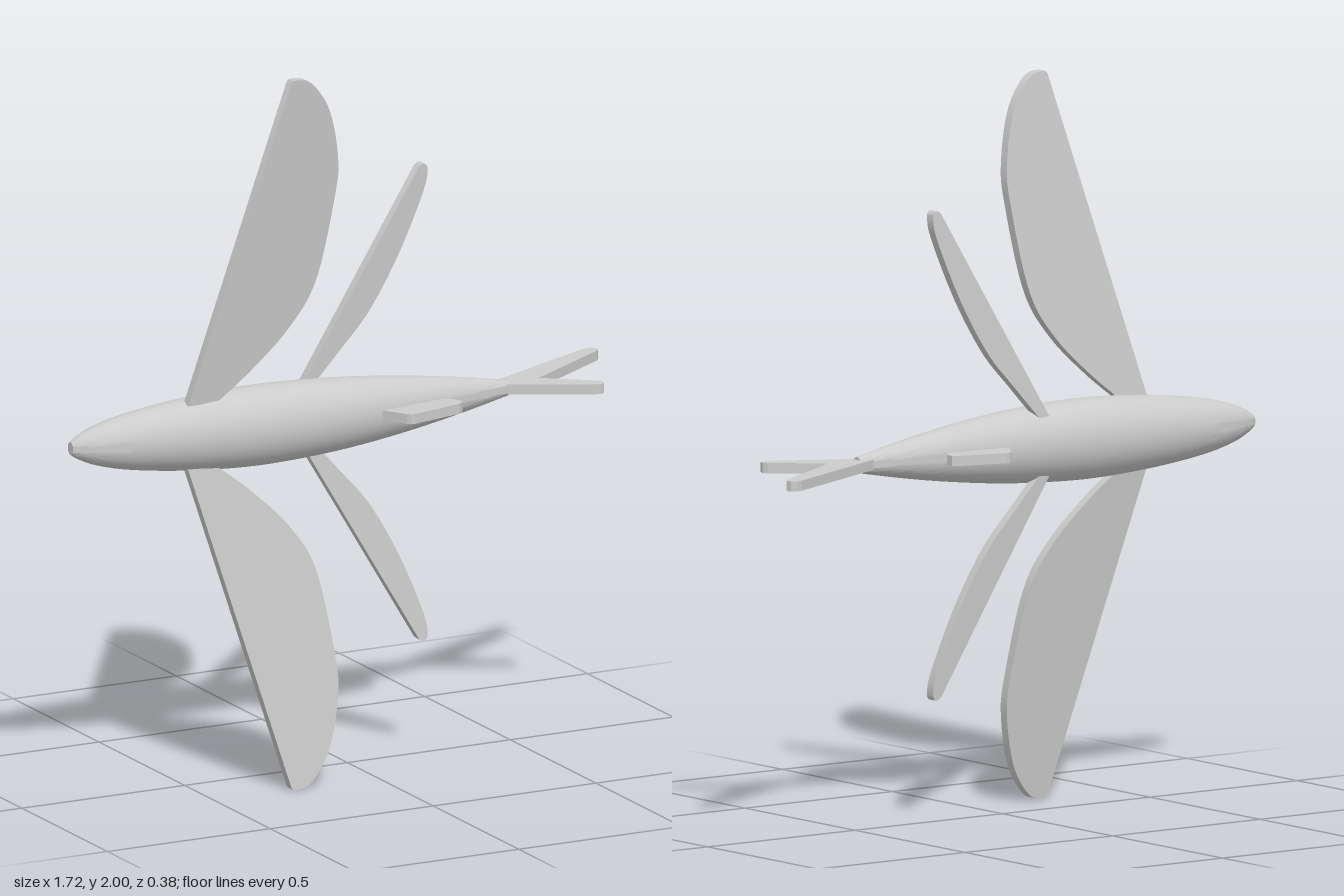
import * as THREE from 'three';
import { mergeVertices, toCreasedNormals } from 'three/addons/utils/BufferGeometryUtils.js';

const material = new THREE.MeshStandardMaterial({ color: 0xcccccc });
const AXIS_Y = 1; // height of the body axis
const THICK = 0.028; // thickness of every fin

const vec = ([x, y]) => new THREE.Vector2(x, y);

function addMesh(group, name, geometry) {
  const mesh = new THREE.Mesh(geometry, material);
  mesh.name = name;
  mesh.position.y = AXIS_Y;
  group.add(mesh);
}

// Spindle body along x: slightly flattened in z, with a gently arched centre line
function bodyGeometry() {
  const profile = [
    [0.018, -0.86], [0.034, -0.835], [0.055, -0.785], [0.078, -0.69], [0.099, -0.53],
    [0.111, -0.34], [0.108, -0.17], [0.096, 0], [0.074, 0.18], [0.05, 0.33], [0.022, 0.48],
  ].map(vec);
  const smooth = new THREE.SplineCurve(profile).getPoints(50);
  const points = [new THREE.Vector2(0, -0.86), ...smooth, new THREE.Vector2(0, 0.48)];
  let geo = new THREE.LatheGeometry(points, 48);
  geo.rotateZ(-Math.PI / 2);
  const pos = geo.attributes.position;
  for (let i = 0; i < pos.count; i++) {
    const t = (pos.getX(i) + 0.86) / 1.34;
    pos.setZ(i, pos.getZ(i) * 0.86 + 0.018 + 0.02 * Math.sin(Math.PI * t));
  }
  geo.deleteAttribute('uv');
  geo.deleteAttribute('normal');
  geo = mergeVertices(geo, 1e-5);
  return toCreasedNormals(geo, 0.7);
}

// Upright fin: straight leading edge, curved trailing edge, leaning forward by a shear.
// side = 1 for the upper fin, -1 for the lower one
function sweptFin(root, trailing, z0, slope, side) {
  const flip = ([x, y]) => new THREE.Vector2(x, y * side);
  const shape = new THREE.Shape();
  const start = flip(root);
  const edge = trailing.map(flip);
  shape.moveTo(start.x, start.y);
  shape.lineTo(edge[0].x, edge[0].y);
  shape.splineThru(edge.slice(1));
  shape.closePath();
  const geo = new THREE.ExtrudeGeometry(shape, { depth: THICK, bevelEnabled: false, curveSegments: 5 });
  const pos = geo.attributes.position;
  for (let i = 0; i < pos.count; i++) {
    pos.setZ(i, pos.getZ(i) - THICK / 2 + z0 + slope * Math.abs(pos.getY(i)));
  }
  return toCreasedNormals(geo, 0.5);
}

// Flat fin lying in the xz plane, outlined by [x, z] corners; rounded corners are listed as points
function flatFin(outline) {
  const shape = new THREE.Shape(outline.map(([x, z]) => new THREE.Vector2(x, -z)));
  const geo = new THREE.ExtrudeGeometry(shape, { depth: THICK, bevelEnabled: false });
  geo.rotateX(-Math.PI / 2);
  geo.translate(0, -THICK / 2, 0);
  return geo;
}

export function createModel() {
  const group = new THREE.Group();
  group.name = 'flyingFish';
  addMesh(group, 'body', bodyGeometry());

  // Large wing fins and smaller fins behind them, mirrored above and below
  const wingEdge = [
    [-0.268, 0.992], [-0.255, 1.0], [-0.205, 0.985], [-0.145, 0.9], [-0.11, 0.76], [-0.112, 0.65],
    [-0.155, 0.41], [-0.23, 0.28], [-0.34, 0.17], [-0.44, 0.09],
  ];
  const rearEdge = [
    [0.195, 0.665], [0.21, 0.673], [0.222, 0.655], [0.21, 0.59], [0.14, 0.42],
    [0.055, 0.27], [-0.03, 0.17], [-0.11, 0.08],
  ];
  for (const [label, side] of [['upper', 1], ['lower', -1]]) {
    addMesh(group, label + 'WingFin', sweptFin([-0.528, 0.09], wingEdge, 0.05, 0.119, side));
    addMesh(group, label + 'RearFin', sweptFin([-0.145, 0.08], rearEdge, -0.012, 0.066, side));
  }

  // Back and belly fins
  addMesh(group, 'backFin', flatFin([
    [0.0, -0.03], [0.02, -0.06], [0.058, -0.118], [0.068, -0.127], [0.08, -0.127],
    [0.215, -0.09], [0.23, -0.08], [0.23, -0.06], [0.215, -0.038], [0.19, -0.02],
  ]));
  addMesh(group, 'bellyFin', flatFin([
    [0.03, 0.08], [0.09, 0.176], [0.1, 0.185], [0.112, 0.185],
    [0.265, 0.15], [0.28, 0.138], [0.284, 0.12], [0.274, 0.1], [0.25, 0.07],
  ]));

  // Forked tail with one long and one short lobe
  addMesh(group, 'tailFin', flatFin([
    [0.44, -0.005], [0.825, -0.192], [0.842, -0.194], [0.856, -0.186], [0.86, -0.172], [0.85, -0.158],
    [0.58, 0.015], [0.71, 0.117], [0.717, 0.13], [0.712, 0.145], [0.7, 0.15], [0.685, 0.147],
    [0.46, 0.03],
  ]));
  return group;
}
